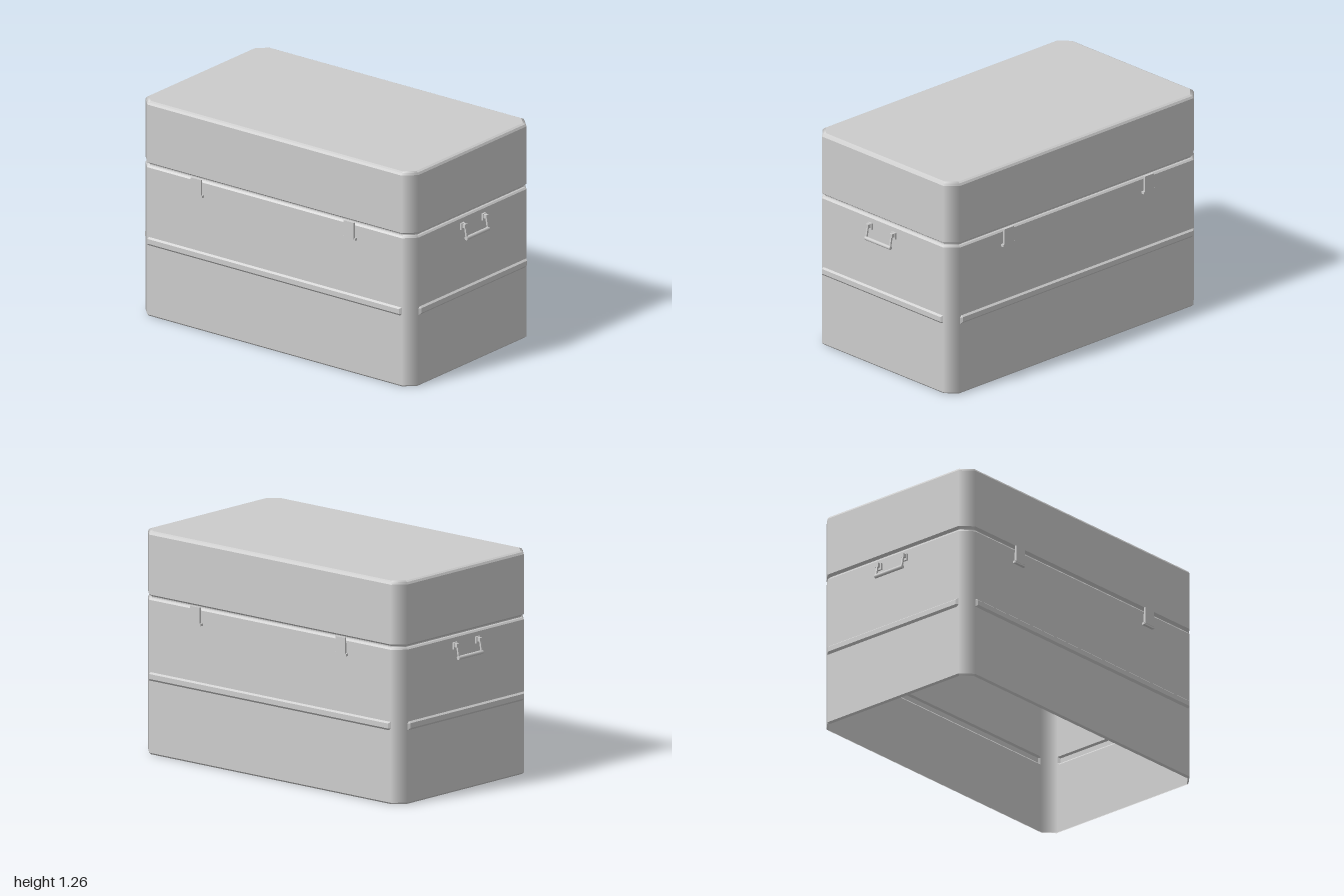
import * as THREE from 'three';

const grey = new THREE.MeshStandardMaterial({ color: 0xcccccc, side: THREE.DoubleSide });
grey.name = 'grey metal';

// The four walls: outward normal, distance from the centre, half length between the cut corners
const walls = [
  { nx: 0, nz: 1, dist: 0.545, half: 0.89 },
  { nx: 1, nz: 0, dist: 0.955, half: 0.48 },
  { nx: 0, nz: -1, dist: 0.545, half: 0.89 },
  { nx: -1, nz: 0, dist: 0.955, half: 0.48 },
];

// One ring of 16 points; rib pushes out the walls but leaves the corners
function ring({ y, inset = 0, rib = 0 }) {
  const points = [];
  for (const { nx, nz, dist, half } of walls) {
    const L = half - 0.4 * inset;
    for (const [u, out] of [[-L, 0], [0.012 - L, rib], [L - 0.012, rib], [L, 0]]) {
      const d = dist - inset + out;
      points.push(new THREE.Vector3(nx * d + nz * u, y, nz * d - nx * u));
    }
  }
  return points;
}

// Thin shell through the rows, flat on the walls and shaded smoothly round the corners
function shell(name, rows, capped) {
  const rings = rows.map(ring);
  const positions = [], normals = [];
  const wallNormal = (i) => {
    const w = walls[Math.floor(i / 4)];
    return new THREE.Vector3(w.nx, 0, w.nz);
  };
  const triangle = (points, pointNormals) => {
    const [a, b, c] = points;
    const flat = b.clone().sub(a).cross(c.clone().sub(a)).normalize();
    points.forEach((p, k) => {
      const n = pointNormals ? pointNormals[k].clone().setY(flat.y).normalize() : flat;
      positions.push(p.x, p.y, p.z);
      normals.push(n.x, n.y, n.z);
    });
  };
  for (let r = 0; r < rings.length - 1; r++) {
    for (let i = 0; i < 16; i++) {
      const j = (i + 1) % 16;
      const a = rings[r][i], b = rings[r][j], c = rings[r + 1][j], d = rings[r + 1][i];
      const corner = i % 4 === 3;
      const ni = wallNormal(i), nj = wallNormal(j);
      triangle([a, b, c], corner && [ni, nj, nj]);
      triangle([a, c, d], corner && [ni, nj, ni]);
    }
  }
  if (capped) {
    const top = rings[rings.length - 1];
    const centre = new THREE.Vector3(0, top[0].y, 0);
    top.forEach((p, i) => triangle([p, top[(i + 1) % 16], centre]));
  }
  const geometry = new THREE.BufferGeometry();
  geometry.setAttribute('position', new THREE.Float32BufferAttribute(positions, 3));
  geometry.setAttribute('normal', new THREE.Float32BufferAttribute(normals, 3));
  const mesh = new THREE.Mesh(geometry, grey);
  mesh.name = name;
  return mesh;
}

function box(name, w, h, d, x, y, z) {
  const mesh = new THREE.Mesh(new THREE.BoxGeometry(w, h, d), grey);
  mesh.name = name;
  mesh.position.set(x, y, z);
  return mesh;
}

// Latch on the front wall
function latch(x) {
  const group = new THREE.Group();
  group.name = 'latch';
  group.add(
    box('latchPlate', 0.07, 0.096, 0.012, x, 0.847, 0.56),
    box('latchMount', 0.056, 0.06, 0.012, x, 0.83, 0.549),
    box('latchFoot', 0.084, 0.014, 0.018, x, 0.797, 0.555),
  );
  return group;
}

// Drop handle on the +x wall: two brackets, slanting arms and a grip
function handle() {
  const group = new THREE.Group();
  group.name = 'handle';
  for (const s of [-1, 1]) {
    group.add(box('handleBracket', 0.012, 0.038, 0.032, 0.96, 0.829, s * 0.094));
    group.add(box('handleHinge', 0.022, 0.022, 0.02, 0.974, 0.834, s * 0.094));
    const arm = box('handleArm', 0.01, 0.075, 0.01, 0.984, 0.797, s * 0.094);
    arm.rotation.z = 0.17;
    group.add(arm);
  }
  const grip = new THREE.Mesh(new THREE.CylinderGeometry(0.011, 0.011, 0.2, 12), grey);
  grip.name = 'handleGrip';
  grip.rotation.x = Math.PI / 2;
  grip.position.set(0.989, 0.764, 0);
  group.add(grip);
  return group;
}

export function createModel() {
  const model = new THREE.Group();
  model.name = 'storageCase';

  // Body, open below, with a pressed rib round the middle
  model.add(shell('body', [
    { y: 0, inset: 0.01 },
    { y: 0.01 },
    { y: 0.418 },
    { y: 0.43, rib: 0.011 },
    { y: 0.458, rib: 0.011 },
    { y: 0.467 },
    { y: 0.874 },
    { y: 0.883, inset: 0.008 },
    { y: 0.886, inset: 0.016 },
    { y: 0.892, inset: 0.016 },
  ], false));

  // Lid, starting in the seam groove
  model.add(shell('lid', [
    { y: 0.892, inset: 0.016 },
    { y: 0.897, inset: 0.01 },
    { y: 0.904 },
    { y: 1.242 },
    { y: 1.254, inset: 0.007 },
    { y: 1.26, inset: 0.02 },
  ], true));

  // Latches and handles on opposite walls
  for (const turn of [0, Math.PI]) {
    const fittings = new THREE.Group();
    fittings.name = turn ? 'backRightFittings' : 'frontLeftFittings';
    fittings.add(latch(-0.535), latch(0.535), handle());
    fittings.rotation.y = turn;
    model.add(fittings);
  }
  return model;
}
